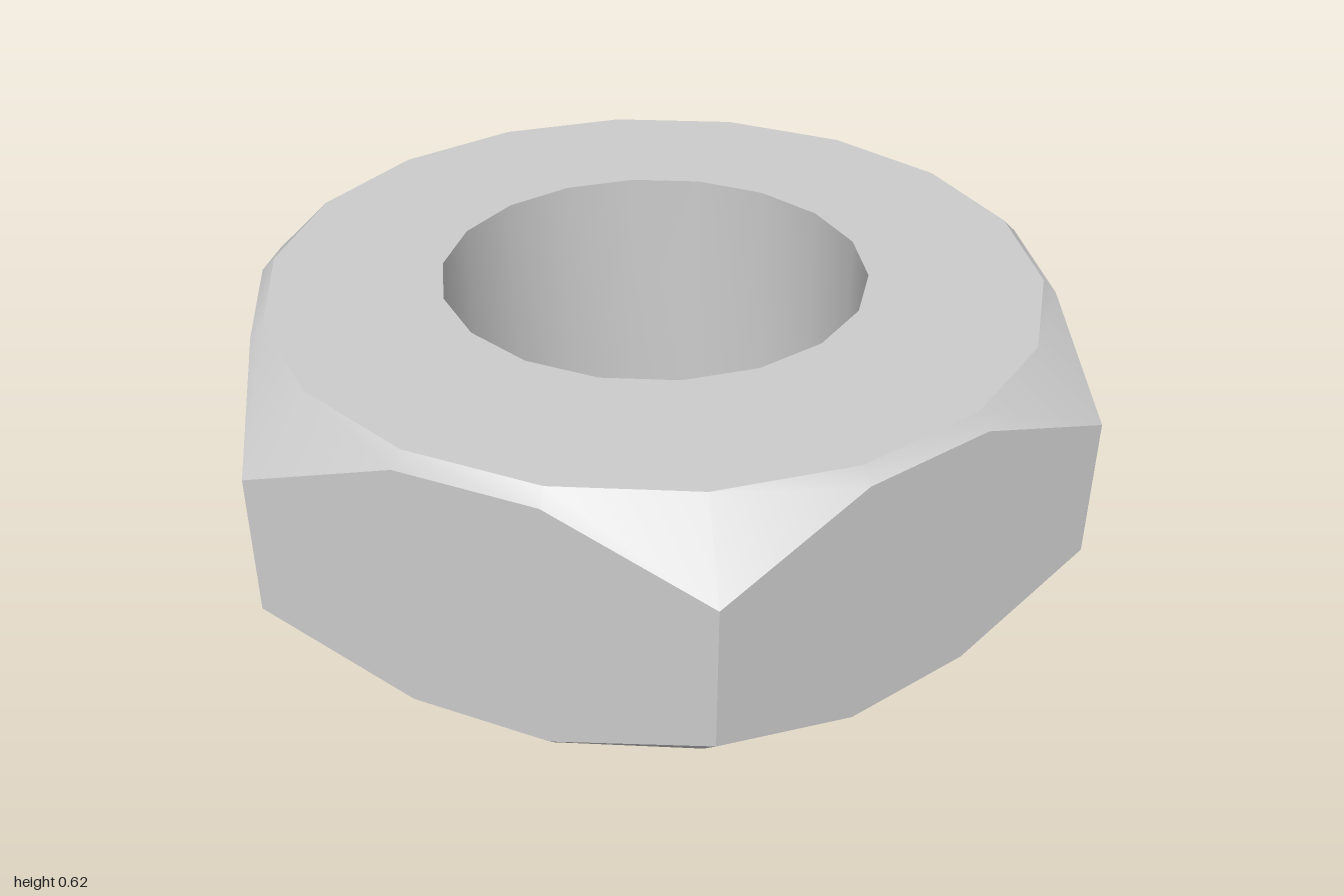
import * as THREE from 'three';

const N = 18, HEIGHT = 0.62, FACE = 0.85, BORE = 0.47;

// Radius of the hexagon (corner radius 1) at an angle
const hexRadius = (t) => {
  const third = Math.PI / 3;
  return Math.cos(third / 2) / Math.cos((t % third) - third / 2);
};

// A ring of points; rule(angle) gives [radius, y]
const ring = (rule) => Array.from({ length: N }, (_, i) => {
  const t = ((i + 1e-9) / N) * Math.PI * 2;
  const [r, y] = rule(t);
  return [r * Math.cos(t), y, r * Math.sin(t)];
});

// Closed band of quads between two rings
function band(a, b, flat) {
  const index = [];
  for (let i = 0; i < N; i++) {
    const j = (i + 1) % N;
    index.push(i, N + i, N + j, i, N + j, j);
  }
  let geometry = new THREE.BufferGeometry();
  geometry.setAttribute('position', new THREE.Float32BufferAttribute([...a, ...b].flat(), 3));
  geometry.setIndex(index);
  if (flat) geometry = geometry.toNonIndexed();
  geometry.computeVertexNormals();
  return geometry;
}

export function createModel() {
  const group = new THREE.Group();
  group.name = 'hexNut';
  const material = new THREE.MeshStandardMaterial({ color: 0xcccccc });

  // 45 degree chamfer: the drop equals how far the hexagon passes the round face
  const drop = (t) => hexRadius(t) - FACE;
  const bottomHole = ring(() => [BORE, 0]);
  const bottomEdge = ring(() => [FACE, 0]);
  const lowerRim = ring((t) => [hexRadius(t), drop(t)]);
  const upperRim = ring((t) => [hexRadius(t), HEIGHT - drop(t)]);
  const topEdge = ring(() => [FACE, HEIGHT]);
  const topHole = ring(() => [BORE, HEIGHT]);

  const parts = [
    ['bottomFace', bottomHole, bottomEdge, true],
    ['lowerChamfer', bottomEdge, lowerRim, false],
    ['hexSides', lowerRim, upperRim, true],
    ['upperChamfer', upperRim, topEdge, false],
    ['topFace', topEdge, topHole, true],
    ['bore', topHole, bottomHole, false],
  ];
  for (const [name, a, b, flat] of parts) {
    const mesh = new THREE.Mesh(band(a, b, flat), material);
    mesh.name = name;
    group.add(mesh);
  }
  return group;
}
